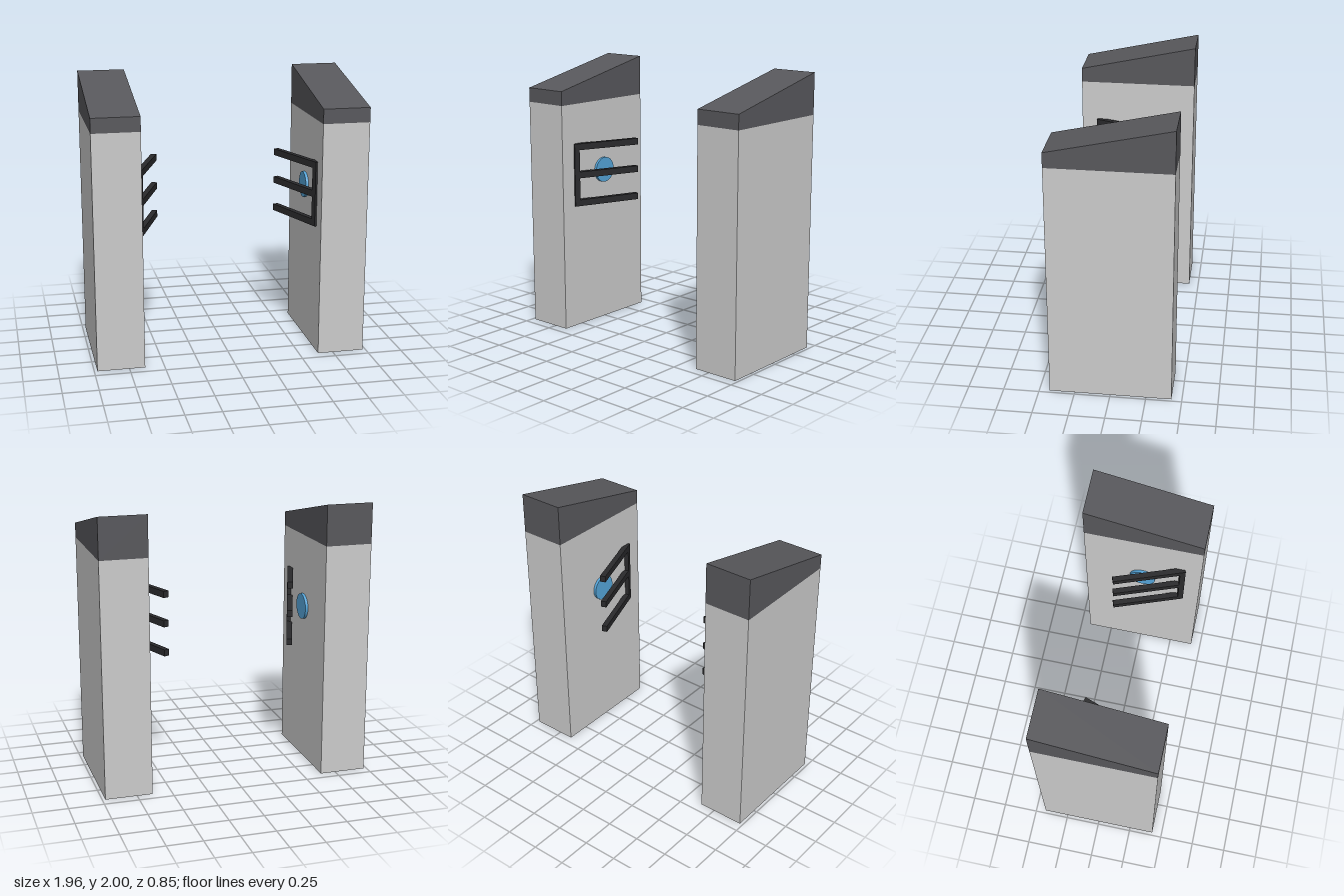
import * as THREE from 'three';

const material = (color) => new THREE.MeshStandardMaterial({ color });
const grey = material(0xcccccc);
const capGrey = material(0x58585c);
const barBlack = material(0x2a2a2c);
const blue = material(0x55a5d9);

const WIDTH = 0.34, DEPTH = 0.854, BODY_HEIGHT = 1.705;
const CENTER_X = 0.808, INNER_X = 0.638;

function add(parent, name, geometry, mat, x = 0, y = 0, z = 0) {
  const mesh = new THREE.Mesh(geometry, mat);
  mesh.name = name;
  mesh.position.set(x, y, z);
  parent.add(mesh);
  return mesh;
}

// Wedge cap, low at the front and high at the back
function capGeometry() {
  const d = DEPTH / 2;
  const shape = new THREE.Shape([
    new THREE.Vector2(-d, BODY_HEIGHT), new THREE.Vector2(d, BODY_HEIGHT),
    new THREE.Vector2(d, 1.81), new THREE.Vector2(-d, 2),
  ]);
  return new THREE.ExtrudeGeometry(shape, { depth: WIDTH, bevelEnabled: false })
    .translate(0, 0, -WIDTH / 2)
    .rotateY(-Math.PI / 2);
}

// Swung gate: an upright at the hinge with three rails
function createGate(side) {
  const gate = new THREE.Group();
  gate.name = 'gate';
  const length = 0.527, thick = 0.04, railHeight = 0.048, low = 0.959, gap = 0.213;
  add(gate, 'hingeUpright', new THREE.BoxGeometry(thick, gap * 2 + railHeight, thick), barBlack,
    0, low + gap, -thick / 2);
  for (let i = 0; i < 3; i++) {
    add(gate, 'rail', new THREE.BoxGeometry(thick, railHeight, length - thick), barBlack,
      0, low + gap * i, -(length + thick) / 2);
  }
  gate.position.set(side * 0.642, 0, 0.308);
  gate.rotation.y = side * THREE.MathUtils.degToRad(20);
  return gate;
}

function createPillar(side) {
  const pillar = new THREE.Group();
  pillar.name = side > 0 ? 'leftPillar' : 'rightPillar';
  add(pillar, 'body', new THREE.BoxGeometry(WIDTH, BODY_HEIGHT, DEPTH), grey,
    side * CENTER_X, BODY_HEIGHT / 2);
  add(pillar, 'cap', capGeometry(), capGrey, side * CENTER_X);
  // Round reader disc on the inner face
  add(pillar, 'readerDisc', new THREE.CylinderGeometry(0.095, 0.095, 0.04, 32).rotateZ(Math.PI / 2),
    blue, side * INNER_X, 1.172);
  pillar.add(createGate(side));
  return pillar;
}

export function createModel() {
  const model = new THREE.Group();
  model.name = 'gateway';
  for (const side of [-1, 1]) model.add(createPillar(side));
  return model;
}
